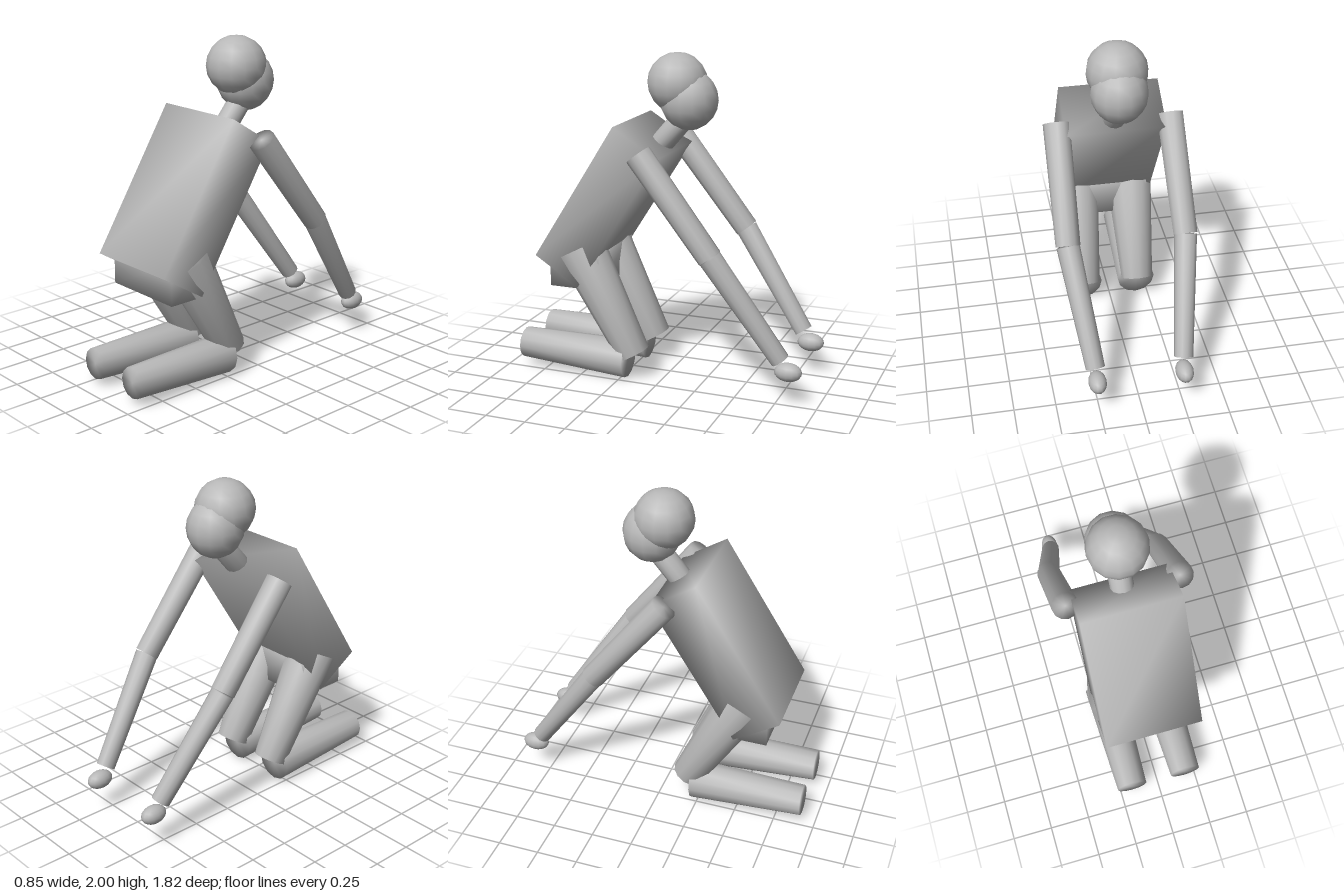
import * as THREE from 'three';
import { mergeVertices } from 'three/addons/utils/BufferGeometryUtils.js';

const V = (x, y, z) => new THREE.Vector3(x, y, z);

// Weld all corners so shading runs smoothly over every edge
function weld(geometry) {
  geometry.deleteAttribute('normal');
  geometry.deleteAttribute('uv');
  const welded = mergeVertices(geometry, 1e-4);
  welded.computeVertexNormals();
  return welded;
}

export function createModel() {
  const model = new THREE.Group();
  model.name = 'kneelingFigure';
  const clay = new THREE.MeshStandardMaterial({ color: 0xb8b8b8 });
  clay.name = 'clay grey';

  function add(name, geometry, position) {
    const mesh = new THREE.Mesh(geometry, clay);
    mesh.name = name;
    mesh.position.copy(position);
    model.add(mesh);
    return mesh;
  }

  // Tapered limb from point a (radius ra) to point b (radius rb)
  function limb(name, a, b, ra, rb) {
    const axis = b.clone().sub(a);
    const geometry = weld(new THREE.CylinderGeometry(rb, ra, axis.length(), 12));
    const mesh = add(name, geometry, a.clone().add(b).multiplyScalar(0.5));
    mesh.quaternion.setFromUnitVectors(V(0, 1, 0), axis.normalize());
  }

  function ball(name, center, rx, ry, rz) {
    const mesh = add(name, new THREE.SphereGeometry(1, 14, 10), center);
    mesh.scale.set(rx, ry, rz);
    return mesh;
  }

  // Leaning trunk and upright hip block
  const torso = add('torso', weld(new THREE.BoxGeometry(0.6, 0.977, 0.327)), V(0, 1.088, 0.367));
  torso.rotation.x = -0.561;
  add('pelvis', weld(new THREE.BoxGeometry(0.53, 0.25, 0.32)), V(0, 0.693, 0.524));

  // Neck, head and hair cap
  limb('neck', V(0, 1.4, 0.1), V(0, 1.64, -0.105), 0.07, 0.07);
  ball('head', V(0, 1.725, -0.117), 0.167, 0.181, 0.175);
  ball('hair', V(0, 1.822, -0.045), 0.18, 0.178, 0.18);

  // Arms reaching forward and down, legs folded under
  for (const [side, s] of [['left', 1], ['right', -1]]) {
    const elbow = V(0.35 * s, 0.88, -0.374);
    limb(side + 'UpperArm', V(0.34 * s, 1.448, 0.069), elbow, 0.08, 0.073);
    limb(side + 'Forearm', elbow, V(0.264 * s, 0.284, -0.78), 0.069, 0.057);
    ball(side + 'Hand', V(0.26 * s, 0.215, -0.828), 0.054, 0.056, 0.083);
    limb(side + 'Thigh', V(0.175 * s, 0.806, 0.522), V(0.175 * s, 0.159, 0.175), 0.152, 0.102);
    limb(side + 'Shin', V(0.175 * s, 0.123, 0.212), V(0.178 * s, 0.14, 0.91), 0.121, 0.095);
  }
  return model;
}
